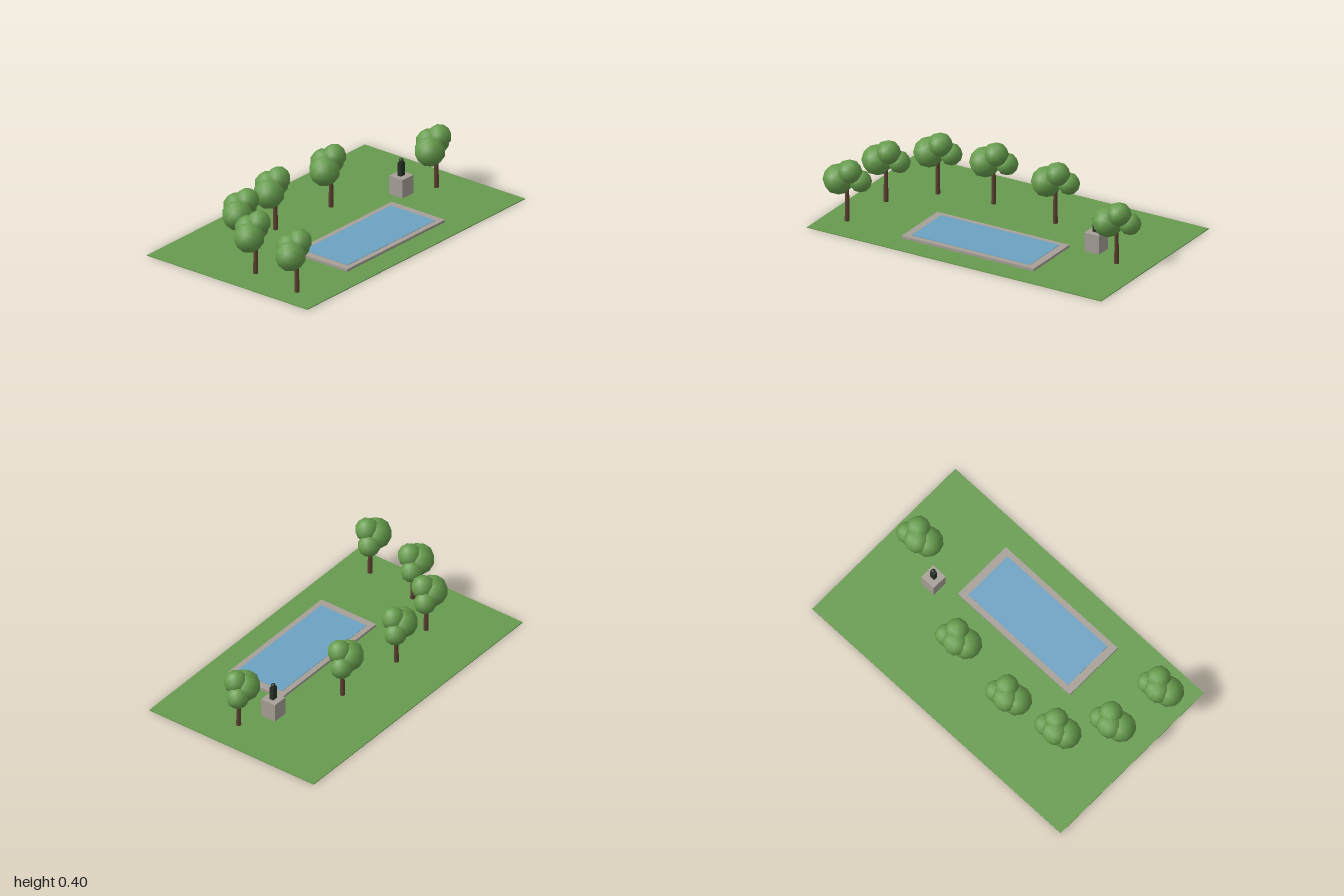
import * as THREE from 'three';

const mat = (name, color) => {
  const m = new THREE.MeshStandardMaterial({ color });
  m.name = name;
  return m;
};

export function createModel() {
  const grass = mat('grass', 0x669a4e);
  const foliage = mat('foliage', 0x669c4c);
  const bark = mat('bark', 0x5e4232);
  const stone = mat('stone', 0xa69f97);
  const water = mat('water', 0x6ca2c2);
  const bronze = mat('bronze', 0x263026);
  const soil = mat('soil', 0x32372a);

  const model = new THREE.Group();
  model.name = 'parkWithPool';

  const add = (parent, name, geometry, material, x, y, z) => {
    const mesh = new THREE.Mesh(geometry, material);
    mesh.name = name;
    mesh.position.set(x, y, z);
    parent.add(mesh);
    return mesh;
  };
  // Box given by its base height
  const box = (parent, name, material, w, h, d, x, y, z) =>
    add(parent, name, new THREE.BoxGeometry(w, h, d), material, x, y + h / 2, z);

  // Lawn with a dark underside (sides in the order +x, -x, top, bottom, +z, -z)
  box(model, 'lawn', [grass, grass, grass, soil, grass, grass], 2, 0.005, 1.2, 0, 0, 0);

  // Pool: stone surround with the water slightly proud of it
  const pool = new THREE.Group();
  pool.name = 'pool';
  box(pool, 'poolSurround', stone, 0.9, 0.017, 0.4, 0, 0.004, 0.25);
  box(pool, 'poolWater', water, 0.805, 0.0035, 0.33, 0, 0.02, 0.25);
  model.add(pool);

  // Statue on its pedestal
  const statue = new THREE.Group();
  statue.name = 'statue';
  statue.position.set(0.6, 0, 0);
  box(statue, 'pedestal', stone, 0.1, 0.118, 0.1, 0, 0.004, 0);
  box(statue, 'statueBody', bronze, 0.035, 0.085, 0.026, 0, 0.121, 0);
  add(statue, 'statueHead', new THREE.SphereGeometry(0.014, 10, 8), bronze, 0, 0.216, 0);
  model.add(statue);

  // Trees: tapered trunk and four clustered crowns [x, y, z, radius]
  const crowns = [
    [-0.06, 0.255, 0, 0.092],
    [0.065, 0.255, -0.042, 0.067],
    [0.022, 0.323, 0.005, 0.072],
    [-0.015, 0.285, -0.042, 0.081],
  ];
  const trunkGeometry = new THREE.CylinderGeometry(0.011, 0.015, 0.246, 8);
  const crownGeometry = new THREE.IcosahedronGeometry(1, 1);
  const places = [
    [-0.85, 0.4], [-0.8, 0.05], [-0.6, -0.2],
    [-0.25, -0.25], [0.2, -0.2], [0.8, 0.1],
  ];
  for (const [x, z] of places) {
    const tree = new THREE.Group();
    tree.name = 'tree';
    tree.position.set(x, 0, z);
    add(tree, 'trunk', trunkGeometry, bark, 0, 0.127, 0);
    for (const [cx, cy, cz, r] of crowns) {
      add(tree, 'crown', crownGeometry, foliage, cx, cy, cz).scale.setScalar(r);
    }
    model.add(tree);
  }
  return model;
}
